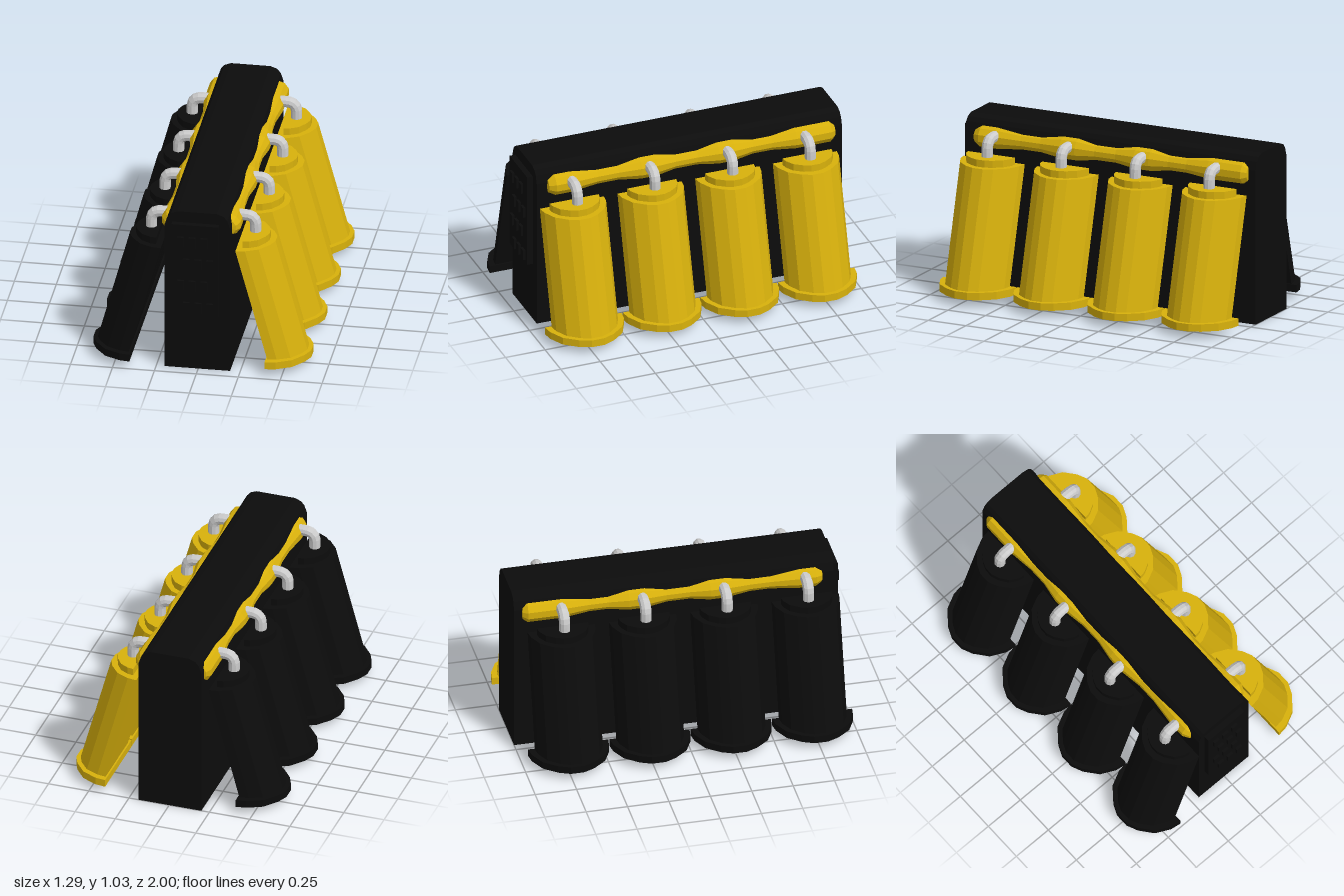
import * as THREE from 'three';

const paint = (color) => new THREE.MeshStandardMaterial({ color, flatShading: true });

function add(parent, name, geometry, material, x = 0, y = 0, z = 0) {
  const mesh = new THREE.Mesh(geometry, material);
  mesh.name = name;
  mesh.position.set(x, y, z);
  parent.add(mesh);
  return mesh;
}

// Upright prism with a faceted D outline: flat side at x = 0, bulge towards +x.
// lean pushes the bottom outwards along x.
function dPrism(depth, halfWidth, height, lean = 0) {
  const arc = [[0, 1], [0.26, 0.96], [0.62, 0.78], [0.88, 0.45], [1, 0.17]];
  const outline = [
    ...arc.map(([x, z]) => [x, -z]),
    ...arc.slice().reverse(),
  ].map(([x, z]) => new THREE.Vector2(x * depth, z * halfWidth));
  const geometry = new THREE.ExtrudeGeometry(new THREE.Shape(outline), { depth: height, bevelEnabled: false });
  geometry.rotateX(-Math.PI / 2);
  const p = geometry.attributes.position;
  for (let i = 0; i < p.count; i++) p.setX(i, p.getX(i) + lean * (1 - p.getY(i) / height));
  geometry.computeVertexNormals();
  return geometry;
}

// Elbow pipe from the manifold out and down into a tank cap.
function elbow() {
  const v = (x, y) => new THREE.Vector3(x, y, 0);
  const path = new THREE.CurvePath();
  path.add(new THREE.LineCurve3(v(0.18, 0.932), v(0.25, 0.932)));
  path.add(new THREE.QuadraticBezierCurve3(v(0.25, 0.932), v(0.308, 0.932), v(0.308, 0.875)));
  path.add(new THREE.LineCurve3(v(0.308, 0.875), v(0.308, 0.82)));
  return new THREE.TubeGeometry(path, 10, 0.034, 10, false);
}

// Wavy manifold pipe, swelling at each outlet.
function manifold() {
  const profile = [
    [0, 0.87], [0.045, 0.86], [0.068, 0.82], [0.068, 0.72], [0.05, 0.55], [0.05, 0.42],
    [0.07, 0.28], [0.07, 0.18], [0.05, 0.06], [0.05, -0.08],
    [0.07, -0.21], [0.07, -0.31], [0.05, -0.43], [0.05, -0.55],
    [0.068, -0.7], [0.068, -0.92], [0.045, -0.95], [0, -0.957],
  ].reverse().map(([r, z]) => new THREE.Vector2(r, z));
  const geometry = new THREE.LatheGeometry(profile, 10);
  geometry.rotateX(Math.PI / 2);
  return geometry;
}

export function createModel() {
  const model = new THREE.Group();
  model.name = 'tankRack';
  const black = paint(0x0c0c0c);
  const yellow = paint(0xd8b10c);
  const grey = paint(0xcccccc);

  // Central casing with chamfered top edges
  const half = [[0.195, 0], [0.195, 0.94], [0.178, 0.99], [0.157, 1.015], [0.118, 1.03]];
  const section = [...half, ...half.slice().reverse().map(([x, y]) => [-x, y])];
  const casing = new THREE.ExtrudeGeometry(
    new THREE.Shape(section.map(([x, y]) => new THREE.Vector2(x, y))),
    { depth: 1.93, bevelEnabled: false },
  );
  add(model, 'casing', casing, black, -0.005, 0, -1);

  // Front panel with staggered rows of buttons
  add(model, 'frontPanel', new THREE.BoxGeometry(0.28, 0.59, 0.05), black, -0.015, 0.665, 0.94);
  const button = new THREE.BoxGeometry(0.04, 0.065, 0.03);
  for (let row = 0; row < 4; row++) {
    for (let col = 0; col < 3; col++) {
      const x = -0.1 + col * 0.07 + (row % 2) * 0.035;
      add(model, 'panelButton', button, black, x, 0.85 - row * 0.143, 0.965);
    }
  }

  // Manifold pipes along both upper edges
  const manifoldGeometry = manifold();
  for (const side of [1, -1]) {
    add(model, 'manifold', manifoldGeometry, yellow, side * 0.17, 0.912, 0);
  }

  // Four leaning tanks per side, one side the half-turn of the other
  const tankBody = dPrism(0.212, 0.203, 0.7, 0.19);
  const tankFoot = dPrism(0.247, 0.242, 0.045);
  const tankCap = dPrism(0.14, 0.155, 0.045);
  const pipe = elbow();
  for (const [name, color, turn] of [['leftTanks', yellow, 0], ['rightTanks', black, Math.PI]]) {
    const bank = new THREE.Group();
    bank.name = name;
    bank.rotation.y = turn;
    model.add(bank);
    for (let i = 0; i < 4; i++) {
      const z = 0.72 - i * 0.491;
      add(bank, 'tankBody', tankBody, color, 0.22, 0.09, z);
      add(bank, 'tankFoot', tankFoot, color, 0.4, 0.045, z);
      add(bank, 'tankCap', tankCap, color, 0.255, 0.788, z);
      add(bank, 'elbowPipe', pipe, grey, 0, 0, z);
    }
  }
  return model;
}
